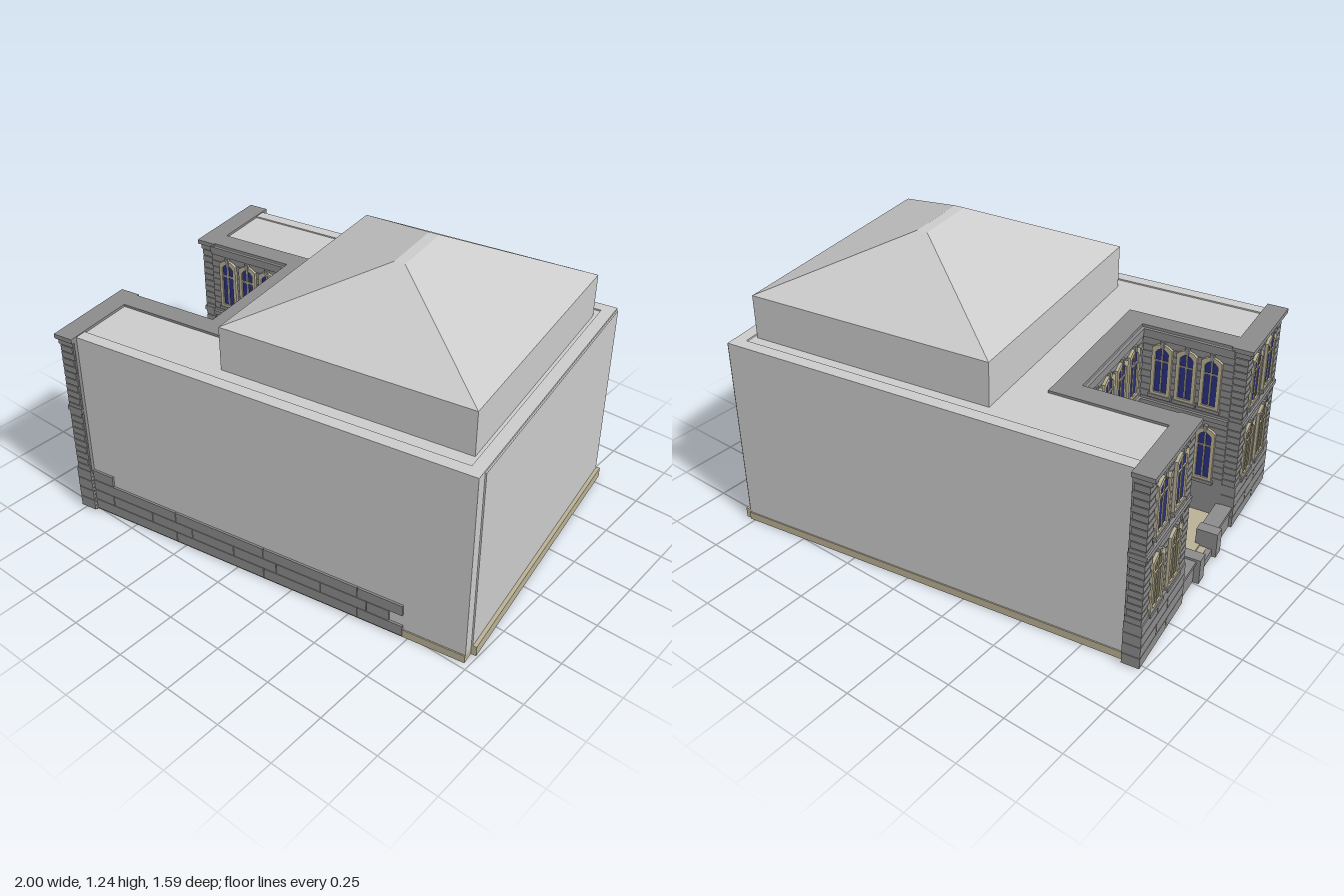
import * as THREE from 'three';

const mat = (color) => new THREE.MeshStandardMaterial({ color, flatShading: true });
const GREY = mat(0xcccccc), STONE = mat(0x8c8c8c), TAN = mat(0xbab296), BLUE = mat(0x2a3080), OLIVE = mat(0x6a6650);

function add(parent, name, geometry, material) {
  const m = new THREE.Mesh(geometry, material);
  m.name = name;
  parent.add(m);
  return m;
}

// Box given by its minimum and maximum along each axis
function block(parent, name, [x0, x1], [y0, y1], [z0, z1], material) {
  const m = add(parent, name, new THREE.BoxGeometry(x1 - x0, y1 - y0, z1 - z0), material);
  m.position.set((x0 + x1) / 2, (y0 + y1) / 2, (z0 + z1) / 2);
  return m;
}

// Outline with a shallow arched head, standing on y = 0
function archOutline(target, w, h, y0 = 0) {
  target.moveTo(-w / 2, y0);
  target.lineTo(w / 2, y0);
  target.lineTo(w / 2, h - 0.02);
  target.quadraticCurveTo(0, h + 0.02, -w / 2, h - 0.02);
  target.closePath();
  return target;
}

// Window facing +z: surround, glass, glazing bars, sill and keystone
function windowUnit(w, h, glass) {
  const g = new THREE.Group();
  g.name = 'window';
  const shape = archOutline(new THREE.Shape(), w, h);
  shape.holes.push(archOutline(new THREE.Path(), w - 0.03, h - 0.018, 0.015));
  add(g, 'surround', new THREE.ExtrudeGeometry(shape, { depth: 0.013, bevelEnabled: false, curveSegments: 5 }), TAN);
  const pane = add(g, 'glass', new THREE.ShapeGeometry(archOutline(new THREE.Shape(), w - 0.02, h - 0.01), 5), glass);
  pane.position.z = 0.006;
  block(g, 'mullion', [-0.003, 0.003], [0.01, h - 0.01], [0.005, 0.011], TAN);
  block(g, 'transom', [-w / 2 + 0.01, w / 2 - 0.01], [h * 0.66, h * 0.66 + 0.006], [0.005, 0.011], TAN);
  block(g, 'sill', [-w / 2 - 0.006, w / 2 + 0.006], [-0.012, 0.003], [0, 0.017], STONE);
  block(g, 'keystone', [-0.008, 0.008], [h - 0.016, h + 0.014], [0, 0.016], STONE);
  return g;
}

// Two-storey coursed wall facing +z with n windows on each floor
function wall(parent, name, x, z, turn, w, n, lowerGlass) {
  const g = new THREE.Group();
  g.name = name;
  g.position.set(x, 0, z);
  g.rotation.y = turn;
  parent.add(g);
  block(g, 'wallFace', [-w / 2, w / 2], [0.02, 0.835], [-0.004, 0.001], STONE);
  for (let y = 0.2; y < 0.8; y += 0.03) block(g, 'brickCourse', [-w / 2, w / 2], [y, y + 0.026], [0, 0.004], STONE);
  block(g, 'beltCourse', [-w / 2, w / 2], [0.495, 0.515], [0, 0.016], STONE);
  block(g, 'frieze', [-w / 2, w / 2], [0.8, 0.835], [0, 0.012], STONE);
  const pitch = (w - 0.07) / n;
  for (let i = 0; i < n; i++) {
    for (const [y, h, glass] of [[0.21, 0.25, lowerGlass], [0.55, 0.235, BLUE]]) {
      const unit = windowUnit(Math.min(0.105, pitch * 0.82), h, glass);
      unit.position.set((i - (n - 1) / 2) * pitch, y, 0.003);
      g.add(unit);
    }
  }
  return g;
}

export function createModel() {
  const root = new THREE.Group();
  root.name = 'building';
  const b = new THREE.Group();
  b.name = 'turnedBuilding';
  b.rotation.y = THREE.MathUtils.degToRad(9.4);
  root.add(b);

  // U-shaped main body with a front courtyard
  const plan = [[-0.82, -0.655], [0.89, -0.655], [0.89, 0.625], [-0.82, 0.625],
    [-0.82, 0.252], [-0.44, 0.252], [-0.44, -0.281], [-0.82, -0.281]];
  const shape = new THREE.Shape(plan.map(([x, z]) => new THREE.Vector2(x, -z)));
  const bodyGeo = new THREE.ExtrudeGeometry(shape, { depth: 0.8, bevelEnabled: false });
  bodyGeo.rotateX(-Math.PI / 2).translate(0, 0.037, 0);
  add(b, 'mainBody', bodyGeo, GREY);
  block(b, 'backWallPanel', [0.88, 0.896], [0.037, 0.835], [-0.65, 0.578], GREY);

  // Base slab and courtyard floor
  block(b, 'baseSlab', [-0.86, 0.89], [0.003, 0.037], [-0.66, 0.63], TAN);
  block(b, 'backPlinth', [0.88, 0.912], [0.004, 0.048], [-0.655, 0.578], TAN);
  block(b, 'courtyardFloor', [-0.83, -0.58], [0.03, 0.045], [-0.281, 0.252], TAN);
  block(b, 'courtyardTerrace', [-0.58, -0.44], [0.03, 0.06], [-0.281, 0.252], TAN);

  // Roof edge and dark coping round the courtyard
  block(b, 'roofEdgeBack', [0.84, 0.89], [0.83, 0.843], [-0.655, 0.625], GREY);
  block(b, 'roofEdgeRight', [-0.82, 0.84], [0.83, 0.843], [-0.655, -0.605], GREY);
  block(b, 'roofEdgeLeft', [-0.82, 0.84], [0.83, 0.843], [0.575, 0.625], GREY);
  block(b, 'courtyardCoping', [-0.44, -0.347], [0.825, 0.847], [-0.371, 0.337], STONE);
  block(b, 'courtyardCoping', [-0.83, -0.44], [0.825, 0.847], [-0.371, -0.281], STONE);
  block(b, 'courtyardCoping', [-0.83, -0.44], [0.825, 0.847], [0.252, 0.337], STONE);

  // Upper storey and its flat-topped hipped roof
  block(b, 'upperStorey', [-0.211, 0.825], [0.83, 1.02], [-0.558, 0.518], GREY);
  const roof = new THREE.BoxGeometry(1, 0.22, 1).toNonIndexed();
  const p = roof.attributes.position;
  for (let i = 0; i < p.count; i++) {
    const top = p.getY(i) > 0;
    const [x0, x1, z0, z1] = top ? [0.286, 0.33, -0.156, 0.115] : [-0.211, 0.825, -0.558, 0.518];
    p.setXYZ(i, p.getX(i) < 0 ? x0 : x1, top ? 1.24 : 1.02, p.getZ(i) < 0 ? z0 : z1);
  }
  roof.computeVertexNormals();
  add(b, 'hippedRoof', roof, GREY);

  // Courtyard walls
  wall(b, 'courtyardBackWall', -0.441, -0.0145, -Math.PI / 2, 0.533, 4, BLUE);
  wall(b, 'courtyardSideWall', -0.64, -0.28, 0, 0.38, 3, BLUE);
  wall(b, 'courtyardSideWall', -0.64, 0.251, Math.PI, 0.38, 3, BLUE);

  // Two front wings with quoins, rusticated base and cornice
  for (const [z0, z1] of [[-0.672, -0.288], [0.258, 0.64]]) {
    block(b, 'wingFront', [-0.872, -0.815], [0.005, 0.83], [z0, z1], STONE);
    wall(b, 'wingFacade', -0.873, (z0 + z1) / 2, -Math.PI / 2, z1 - z0, 2, OLIVE);
    for (let i = 0; i < 20; i++) {
      const y = 0.205 + i * 0.03, w = i % 2 ? 0.045 : 0.06, back = i % 2 ? -0.825 : -0.818;
      block(b, 'quoin', [-0.883, back], [y, y + 0.026], [z0 - 0.006, z0 + w], STONE);
      block(b, 'quoin', [-0.883, back], [y, y + 0.026], [z1 - w, z1 + 0.006], STONE);
    }
    for (let i = 0; i < 4; i++) {
      const y = 0.008 + i * 0.05, mid = z0 + (z1 - z0) * (i % 2 ? 0.35 : 0.6);
      block(b, 'baseStone', [-0.888, -0.816], [y, y + 0.047], [z0 - 0.008, mid - 0.002], STONE);
      block(b, 'baseStone', [-0.888, -0.816], [y, y + 0.047], [mid + 0.002, z1 + 0.008], STONE);
    }
    block(b, 'beltCourse', [-0.89, -0.816], [0.495, 0.515], [z0 - 0.01, z1 + 0.008], STONE);
    block(b, 'corniceLower', [-0.89, -0.818], [0.805, 0.828], [z0 - 0.007, z1 + 0.007], STONE);
    block(b, 'corniceTop', [-0.902, -0.815], [0.828, 0.847], [z0 - 0.014, z1 + 0.014], STONE);
  }

  // Low front wall with gate posts and a step
  for (const [z0, z1, post] of [[-0.282, -0.115, -0.115], [0.067, 0.253, 0.067]]) {
    block(b, 'lowWall', [-0.875, -0.82], [0.005, 0.09], [z0, z1], STONE);
    block(b, 'lowWallCoping', [-0.882, -0.813], [0.09, 0.105], [z0, z1], STONE);
    block(b, 'gatePost', [-0.9, -0.81], [0.002, 0.115], [post - 0.025, post + 0.025], STONE);
  }
  block(b, 'gateStep', [-0.882, -0.82], [0.003, 0.035], [-0.1, 0.05], STONE);

  // Stone courses along the left side
  const courses = [[0.637, 0.42, 0.42], [0.58, 0.2, 0.1], [0.637, 0.42, 0.42], [-0.71, 0.2, 0.2]];
  courses.forEach(([end, length, first], row) => {
    const y = 0.01 + row * 0.05;
    for (let x = -0.816, len = first; x < end - 0.01; x += len, len = length) {
      block(b, 'sideStone', [x, Math.min(x + len, end) - 0.003], [y, y + 0.047], [0.6, 0.634], STONE);
    }
  });
  return root;
}
